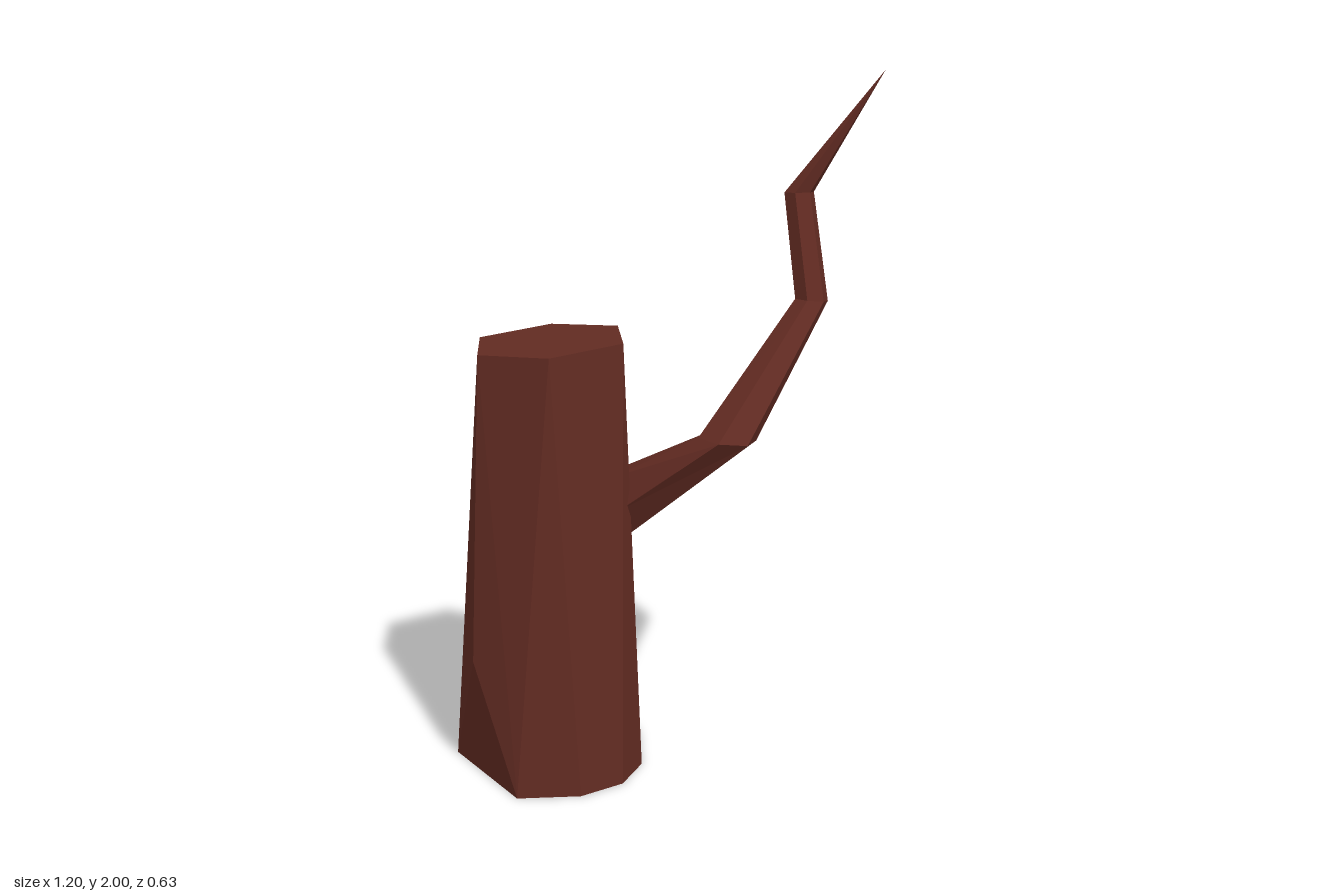
import * as THREE from 'three';

const V = (x, y, z) => new THREE.Vector3(x, y, z);

// Flat-shaded geometry from triangles of points
function fromTriangles(tris) {
  const g = new THREE.BufferGeometry().setFromPoints(tris.flat());
  g.computeVertexNormals();
  return g;
}

// Closed cap over a ring, fanned from its first point
function fan(ring) {
  return ring.slice(1, -1).map((p, i) => [ring[0], p, ring[i + 2]]);
}

function trunkGeometry() {
  // Sloping six-sided cut at the top
  const top = [[-.54, .02], [-.38, .175], [-.155, .12], [-.10, -.11], [-.26, -.255], [-.485, -.20]]
    .map(([x, z]) => V(x, 1.287 + .068 * x, z));
  // Wider nine-sided foot
  const foot = [[-.6, -.15], [-.5, .19], [-.325, .235], [-.19, .2], [-.1, .1],
    [-.04, -.12], [-.18, -.285], [-.36, -.32], [-.49, -.28]].map(([x, z]) => V(x, 0, z));
  const [a, b, c, d, e, f] = top;
  const [p, q, r, s, t, u, v, w, x] = foot;
  // Root flare corners
  const m = V(-.585, .37, .05), n = V(-.11, .37, -.13);
  return fromTriangles([
    [p, q, m], [a, m, q], [a, q, b], [q, r, b], [b, r, c], [r, s, c], [s, t, c],
    [c, t, n], [c, n, d], [t, u, n], [n, u, v], [d, n, v], [d, v, e], [v, w, e],
    [e, w, f], [w, x, f], [x, p, f], [f, p, a], [p, m, a],
    ...fan(top), ...fan([...foot].reverse()),
  ]);
}

function branchGeometry() {
  const sides = 6;
  // centre, facing direction, radius of each bend
  const bends = [
    [V(-.135, .79, .02), V(1, .25, .3), .1],
    [V(.108, 1.013, .235), V(.1, 1, 0), .082],
    [V(.405, 1.365, .115), V(.1, 1, -.05), .048],
    [V(.397, 1.66, .03), V(0, 1, -.05), .043],
  ];
  const rings = bends.map(([centre, dir, radius]) => {
    const n = dir.normalize();
    const side = V(-.6, 0, .75).projectOnPlane(n).normalize();
    const up = n.clone().cross(side);
    return Array.from({ length: sides }, (_, i) => {
      const k = (i / sides) * Math.PI * 2;
      return centre.clone().addScaledVector(side, Math.cos(k) * radius)
        .addScaledVector(up, Math.sin(k) * radius);
    });
  });
  const tip = V(.595, 2, .15);
  const tris = fan([...rings[0]].reverse());
  for (let i = 0; i < sides; i++) {
    const j = (i + 1) % sides;
    for (let k = 0; k < rings.length - 1; k++) {
      const lo = rings[k], hi = rings[k + 1];
      tris.push([lo[i], lo[j], hi[j]], [lo[i], hi[j], hi[i]]);
    }
    tris.push([rings[3][i], rings[3][j], tip]);
  }
  return fromTriangles(tris);
}

export function createModel() {
  const bark = new THREE.MeshStandardMaterial({ color: 0x622b22, flatShading: true });
  bark.name = 'dark brown bark';
  const model = new THREE.Group();
  model.name = 'deadTree';
  const parts = { trunk: trunkGeometry(), branch: branchGeometry() };
  for (const [name, geometry] of Object.entries(parts)) {
    const mesh = new THREE.Mesh(geometry, bark);
    mesh.name = name;
    model.add(mesh);
  }
  return model;
}
